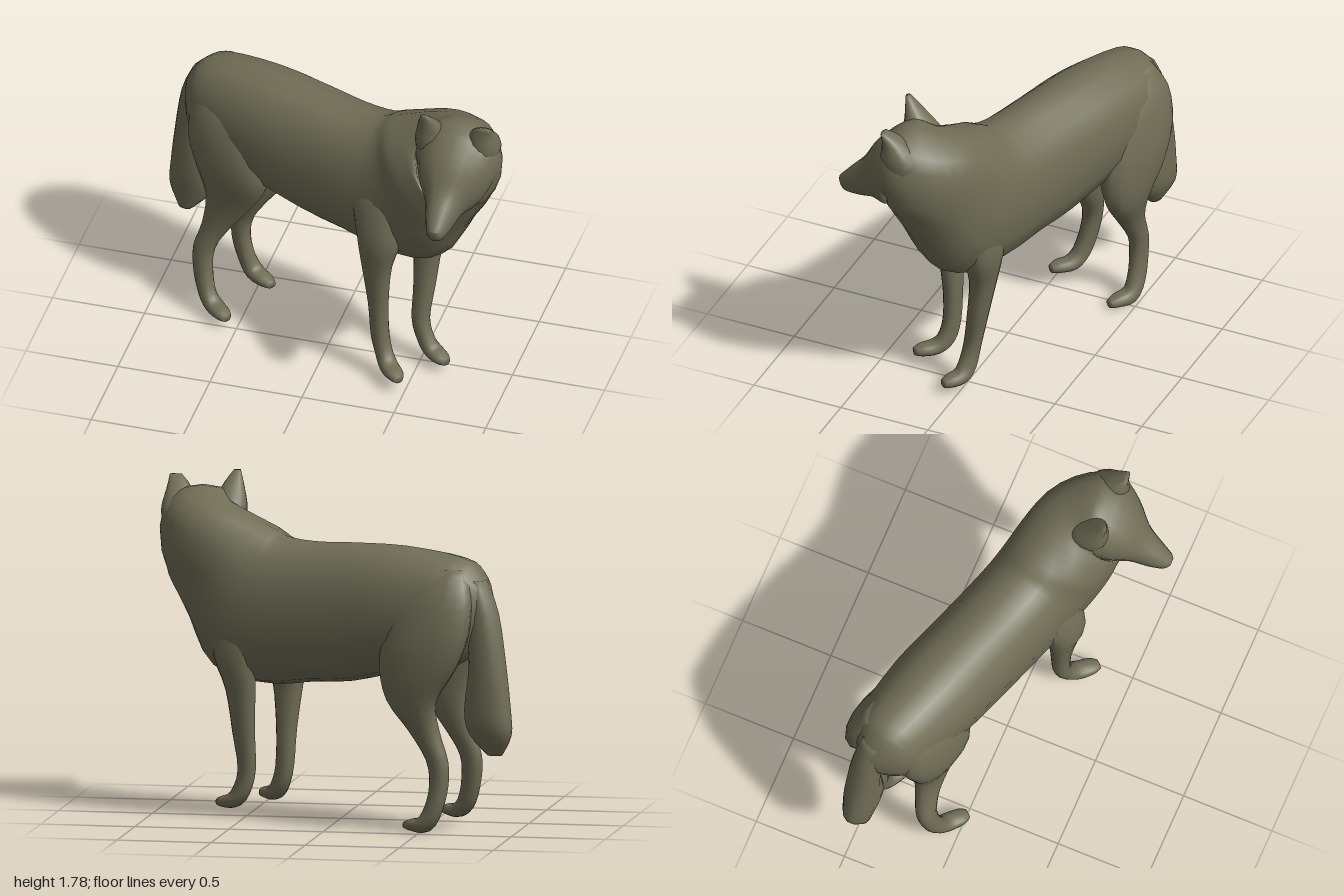
import * as THREE from 'three';

const SIDES = 16;
const STEPS = 3;
const rad = THREE.MathUtils.degToRad;

// Catmull-Rom value between b and c
const spline = (a, b, c, d, t) =>
  0.5 * (2 * b + (c - a) * t + (2 * a - 5 * b + 4 * c - d) * t * t + (3 * b - a - 3 * c + d) * t * t * t);

// Smooth skin over rings of [x, y, z, yaw, pitch, halfWidth, halfHeight].
// Yaw turns from +x towards +z; pitch -90 makes the skin run downwards.
function loft(name, rings, material) {
  const fine = [];
  const last = rings.length - 1;
  for (let i = 0; i < last; i++) {
    const [a, b, c, d] = [Math.max(i - 1, 0), i, i + 1, Math.min(i + 2, last)].map(k => rings[k]);
    for (let s = 0; s < STEPS; s++) fine.push(b.map((v, k) => spline(a[k], v, c[k], d[k], s / STEPS)));
  }
  fine.push(rings[last]);

  const pos = [], index = [];
  const soft = v => Math.sign(v) * Math.abs(v) ** 0.9;
  for (const [x, y, z, yawDeg, pitchDeg, w, h] of fine) {
    const yaw = rad(yawDeg), pitch = rad(pitchDeg);
    const side = [-Math.sin(yaw), 0, Math.cos(yaw)];
    const up = [-Math.sin(pitch) * Math.cos(yaw), Math.cos(pitch), -Math.sin(pitch) * Math.sin(yaw)];
    for (let j = 0; j < SIDES; j++) {
      const t = (j / SIDES) * Math.PI * 2;
      const p = soft(Math.cos(t)) * w, q = soft(Math.sin(t)) * h;
      pos.push(x + side[0] * p + up[0] * q, y + up[1] * q, z + side[2] * p + up[2] * q);
    }
  }
  const n = fine.length;
  for (let i = 0; i < n - 1; i++) {
    for (let j = 0; j < SIDES; j++) {
      const a = i * SIDES + j, b = i * SIDES + (j + 1) % SIDES;
      index.push(a, a + SIDES, b, b, a + SIDES, b + SIDES);
    }
  }
  // end caps
  pos.push(...fine[0].slice(0, 3), ...fine[n - 1].slice(0, 3));
  for (let j = 0; j < SIDES; j++) {
    const k = (j + 1) % SIDES, end = (n - 1) * SIDES;
    index.push(n * SIDES, j, k, n * SIDES + 1, end + k, end + j);
  }
  const geo = new THREE.BufferGeometry();
  geo.setAttribute('position', new THREE.Float32BufferAttribute(pos, 3));
  geo.setIndex(index);
  geo.computeVertexNormals();
  const mesh = new THREE.Mesh(geo, material);
  mesh.name = name;
  return mesh;
}

export function createModel() {
  const fur = new THREE.MeshStandardMaterial({ color: 0x706d56 });
  fur.name = 'olive fur';
  const wolf = new THREE.Group();
  wolf.name = 'wolf';

  // rump, trunk, raised neck and head turned towards the front
  wolf.add(loft('bodyAndHead', [
    [-0.88, 1.19, -0.43, 18, 0, 0.04, 0.08],
    [-0.81, 1.19, -0.40, 18, 0, 0.14, 0.20],
    [-0.70, 1.17, -0.37, 18, 0, 0.21, 0.285],
    [-0.40, 1.16, -0.27, 18, 0, 0.25, 0.33],
    [-0.10, 1.12, -0.17, 18, 0, 0.25, 0.365],
    [0.12, 1.105, -0.095, 18, 0, 0.25, 0.37],
    [0.32, 1.10, -0.03, 18, 5, 0.25, 0.395],
    [0.49, 1.145, 0.03, 20, 24, 0.255, 0.41],
    [0.59, 1.28, 0.08, 26, 39, 0.26, 0.34],
    [0.70, 1.40, 0.13, 40, 45, 0.25, 0.285],
    [0.765, 1.47, 0.20, 68, 34, 0.232, 0.24],
    [0.77, 1.51, 0.26, 90, 8, 0.22, 0.205],
    [0.765, 1.41, 0.34, 90, -15, 0.175, 0.185],
    [0.755, 1.34, 0.43, 90, -20, 0.105, 0.12],
    [0.75, 1.285, 0.52, 90, -20, 0.072, 0.085],
    [0.75, 1.255, 0.59, 90, -15, 0.045, 0.05],
    [0.75, 1.26, 0.615, 90, -10, 0.02, 0.025],
  ], fur));

  // bushy hanging tail
  wolf.add(loft('tail', [
    [-0.79, 1.34, -0.41, 18, -90, 0.07, 0.06],
    [-0.83, 1.17, -0.43, 18, -90, 0.08, 0.09],
    [-0.865, 0.90, -0.45, 18, -90, 0.08, 0.10],
    [-0.865, 0.66, -0.45, 18, -90, 0.08, 0.13],
    [-0.88, 0.53, -0.45, 18, -90, 0.065, 0.12],
    [-0.90, 0.42, -0.43, 18, -90, 0.03, 0.04],
  ], fur));

  // front legs
  wolf.add(loft('rightFrontLeg', [
    [0.29, 1.28, 0.10, 18, -90, 0.06, 0.12],
    [0.31, 1.10, 0.145, 18, -90, 0.09, 0.15],
    [0.33, 0.88, 0.18, 18, -90, 0.10, 0.125],
    [0.315, 0.70, 0.185, 18, -90, 0.065, 0.085],
    [0.32, 0.45, 0.17, 20, -90, 0.05, 0.055],
    [0.33, 0.25, 0.17, 25, -90, 0.045, 0.05],
    [0.36, 0.14, 0.19, 40, -75, 0.045, 0.05],
    [0.40, 0.095, 0.235, 45, -30, 0.05, 0.04],
    [0.45, 0.09, 0.29, 45, 0, 0.045, 0.03],
    [0.475, 0.085, 0.32, 45, 0, 0.025, 0.02],
  ], fur));
  wolf.add(loft('leftFrontLeg', [
    [0.50, 1.20, -0.08, 18, -90, 0.07, 0.12],
    [0.53, 1.05, -0.10, 18, -90, 0.09, 0.14],
    [0.54, 0.85, -0.105, 18, -90, 0.09, 0.115],
    [0.515, 0.68, -0.095, 18, -90, 0.065, 0.08],
    [0.505, 0.45, -0.06, 20, -90, 0.052, 0.06],
    [0.495, 0.25, -0.025, 25, -90, 0.045, 0.048],
    [0.53, 0.13, -0.01, 35, -75, 0.045, 0.05],
    [0.575, 0.08, 0.01, 38, -30, 0.05, 0.04],
    [0.63, 0.07, 0.05, 38, 0, 0.045, 0.03],
    [0.66, 0.065, 0.07, 38, 0, 0.025, 0.02],
  ], fur));

  // hind legs
  wolf.add(loft('rightHindLeg', [
    [-0.64, 1.38, -0.25, 18, -90, 0.05, 0.10],
    [-0.63, 1.24, -0.20, 18, -90, 0.09, 0.18],
    [-0.60, 1.06, -0.165, 18, -90, 0.105, 0.23],
    [-0.565, 0.88, -0.15, 18, -90, 0.10, 0.215],
    [-0.585, 0.70, -0.165, 18, -90, 0.07, 0.14],
    [-0.66, 0.52, -0.17, 18, -90, 0.055, 0.08],
    [-0.72, 0.38, -0.155, 20, -90, 0.048, 0.06],
    [-0.72, 0.25, -0.135, 25, -90, 0.045, 0.055],
    [-0.69, 0.13, -0.105, 40, -75, 0.045, 0.05],
    [-0.64, 0.075, -0.07, 42, -30, 0.05, 0.04],
    [-0.58, 0.07, -0.015, 42, 0, 0.045, 0.03],
    [-0.55, 0.065, 0.01, 42, 0, 0.025, 0.02],
  ], fur));
  wolf.add(loft('leftHindLeg', [
    [-0.65, 1.40, -0.43, 18, -90, 0.07, 0.10],
    [-0.60, 1.26, -0.47, 18, -90, 0.10, 0.20],
    [-0.55, 1.06, -0.49, 18, -90, 0.11, 0.24],
    [-0.50, 0.88, -0.485, 18, -90, 0.105, 0.22],
    [-0.465, 0.70, -0.475, 18, -90, 0.08, 0.14],
    [-0.53, 0.54, -0.46, 18, -90, 0.06, 0.085],
    [-0.60, 0.39, -0.47, 20, -90, 0.048, 0.06],
    [-0.61, 0.26, -0.47, 25, -90, 0.045, 0.052],
    [-0.58, 0.13, -0.47, 35, -75, 0.045, 0.05],
    [-0.53, 0.05, -0.455, 38, -30, 0.05, 0.045],
    [-0.46, 0.04, -0.41, 38, 0, 0.045, 0.032],
    [-0.42, 0.035, -0.385, 38, 0, 0.025, 0.02],
  ], fur));

  // broad ears growing out of the corners of the skull
  const ear = (name, x, tipX, tipY, tipZ, tipWidth) => wolf.add(loft(name, [
    [x, 1.44, 0.19, 90, 90, 0.06, 0.07],
    [x, 1.58, 0.195, 90, 90, 0.085, 0.11],
    [x, 1.69, 0.24, 90, 90, 0.065, 0.06],
    [tipX, tipY, tipZ, 90, 90, tipWidth, 0.012],
  ], fur));
  ear('rightEar', 0.62, 0.605, 1.785, 0.295, 0.018);
  ear('leftEar', 0.905, 0.93, 1.755, 0.285, 0.032);

  return wolf;
}
